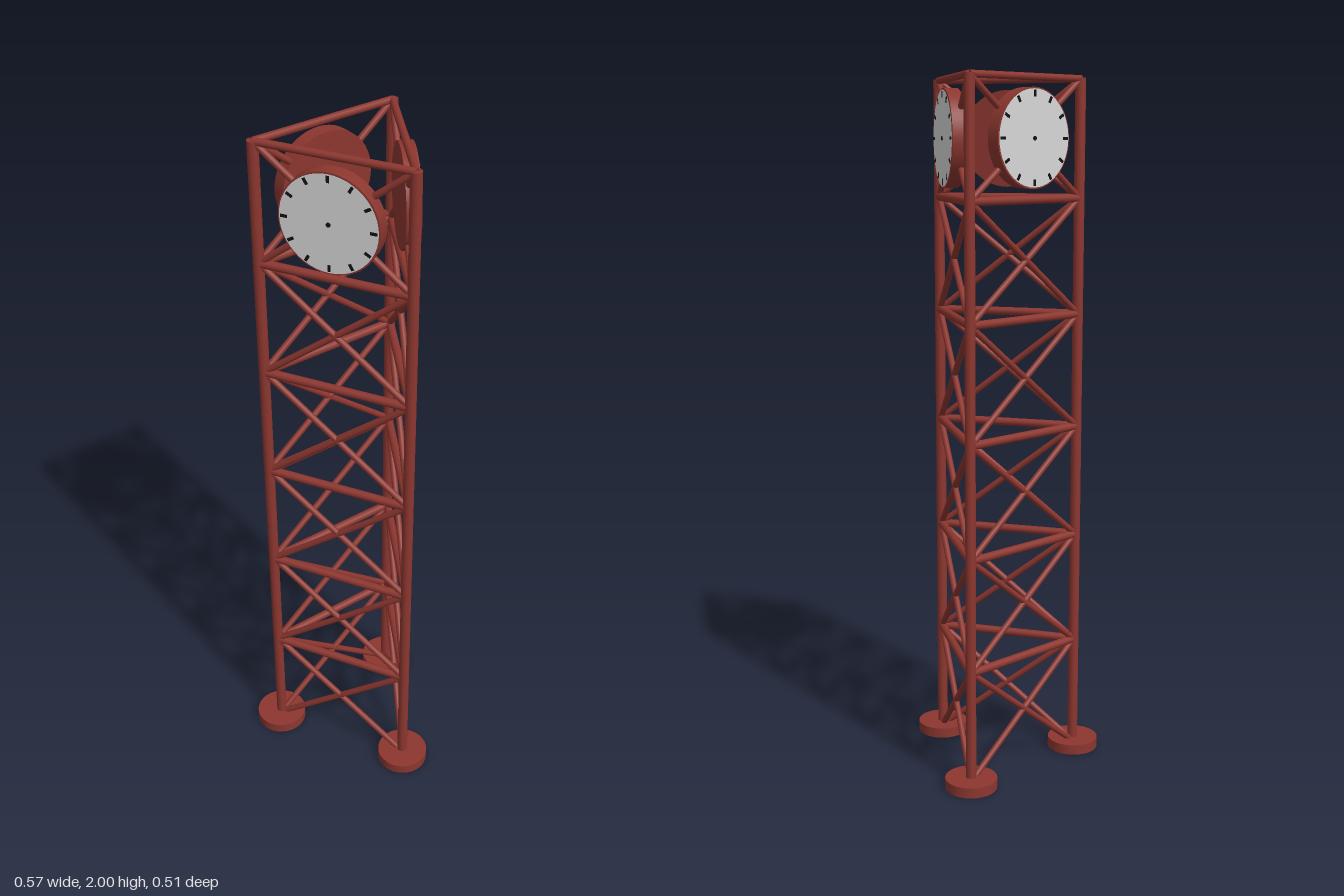
import * as THREE from 'three';

const UP = new THREE.Vector3(0, 1, 0);
const SIDE = 0.42;                    // distance between legs
const CENTRE_Z = 0.0585;              // axis of the triangular plan
const INRADIUS = SIDE / (2 * Math.sqrt(3));
const LEVELS = [0.015, 0.345, 0.675, 1.003, 1.333, 1.662, 1.99];

function material(name, color) {
  const m = new THREE.MeshStandardMaterial({ color });
  m.name = name;
  return m;
}

export function createModel() {
  const red = material('oxide red steel', 0x8c362f);
  const grey = material('pale dial', 0xd6d6d6);
  const black = material('black marks', 0x111111);

  const add = (parent, name, geometry, mat, x = 0, y = 0, z = 0) => {
    const mesh = new THREE.Mesh(geometry, mat);
    mesh.name = name;
    mesh.position.set(x, y, z);
    parent.add(mesh);
    return mesh;
  };

  // Round bar between two points
  const bar = (parent, name, a, b, radius) => {
    const d = b.clone().sub(a);
    const mesh = add(parent, name, new THREE.CylinderGeometry(radius, radius, d.length(), 16), red);
    mesh.position.copy(a).add(b).multiplyScalar(0.5);
    mesh.quaternion.setFromUnitVectors(UP, d.normalize());
  };

  // Clock facing +z: drum, dial, hour marks and centre pin
  const makeClock = () => {
    const clock = new THREE.Group();
    clock.name = 'clock';
    const drum = add(clock, 'clockDrum', new THREE.CylinderGeometry(0.135, 0.135, 0.039, 48), red, 0, 0, 0.0095);
    drum.rotation.x = Math.PI / 2;
    add(clock, 'dial', new THREE.CircleGeometry(0.131, 48), grey, 0, 0, 0.0305);
    for (let i = 0; i < 12; i++) {
      const a = i * Math.PI / 6;
      const mark = add(clock, 'hourMark', new THREE.BoxGeometry(0.008, 0.018, 0.002), black,
        Math.sin(a) * 0.118, Math.cos(a) * 0.118, 0.031);
      mark.rotation.z = -a;
    }
    const pin = add(clock, 'centrePin', new THREE.CylinderGeometry(0.006, 0.006, 0.003, 16), black, 0, 0, 0.0315);
    pin.rotation.x = Math.PI / 2;
    return clock;
  };

  // One face of the tower, with the leg and foot at its right-hand corner
  const makeSide = () => {
    const side = new THREE.Group();
    side.name = 'towerSide';
    const h = SIDE / 2;
    const p = (x, y) => new THREE.Vector3(x, y, INRADIUS);
    add(side, 'footPad', new THREE.CylinderGeometry(0.075, 0.075, 0.03, 48), red, h, 0.015, INRADIUS);
    bar(side, 'leg', p(h, 0.015), p(h, 1.993), 0.015);
    LEVELS.forEach((y, i) => {
      if (i === 0) return;
      const top = i === LEVELS.length - 1;
      bar(side, 'crossBeam', p(-h, y), p(h, y), top ? 0.01 : 0.012);
      bar(side, 'diagonalBrace', p(-h, LEVELS[i - 1]), p(h, y), 0.009);
      bar(side, 'diagonalBrace', p(h, LEVELS[i - 1]), p(-h, y), 0.009);
    });
    const clock = makeClock();
    clock.position.set(0, 1.827, INRADIUS);
    side.add(clock);
    return side;
  };

  // Three identical sides around the axis
  const model = new THREE.Group();
  model.name = 'clockTower';
  for (let i = 0; i < 3; i++) {
    const side = makeSide();
    side.position.z = CENTRE_Z;
    side.rotation.y = i * Math.PI * 2 / 3;
    model.add(side);
  }
  return model;
}
